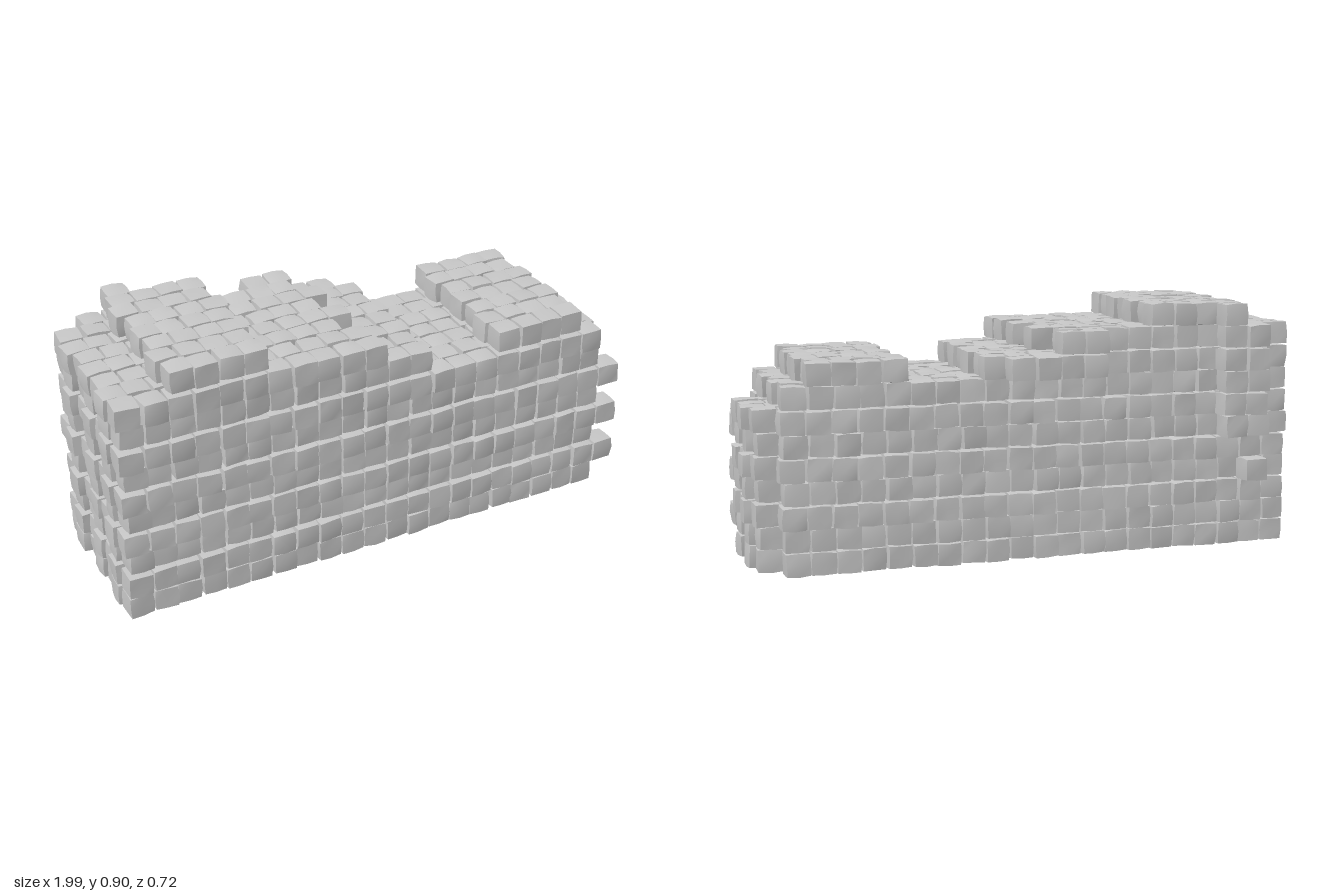
import * as THREE from 'three';
import { mergeGeometries, toCreasedNormals } from 'three/addons/utils/BufferGeometryUtils.js';

const PX = 0.0885, PY = 0.0807, PZ = 0.0862; // stone pitch along each axis

// small seeded random source, returns -1..1
let seed = 7;
const rnd = () => {
  seed = (seed * 16807) % 2147483647;
  return (seed / 2147483647) * 2 - 1;
};

// One rough-hewn block: a box with softened edges, bulging faces and uneven corners
function makeStone() {
  const g = new THREE.BoxGeometry(2, 2, 2, 2, 2, 2);
  const p = g.attributes.position;
  const moved = new Map();
  for (let i = 0; i < p.count; i++) {
    const v = new THREE.Vector3().fromBufferAttribute(p, i).round();
    const key = v.toArray().map((n) => n + 0).join();
    if (!moved.has(key)) {
      const rim = Math.abs(v.x) + Math.abs(v.y) + Math.abs(v.z);
      const scale = rim === 1 ? 1.03 : rim === 2 ? 0.99 : 0.95;
      moved.set(key, new THREE.Vector3(
        v.x * scale + rnd() * 0.05, v.y * scale + rnd() * 0.05, v.z * scale + rnd() * 0.05));
    }
    const m = moved.get(key);
    p.setXYZ(i, m.x, m.y, m.z);
  }
  g.scale(0.0425, 0.0400, 0.0420);
  return toCreasedNormals(g, 0.5);
}

// Stretches of wall kept in the broken upper courses: [from x, to x]
const FULL = [[-1, 1]];
const spans = {
  7: [[-1, 0.9]],
  8: [[-1, 0.2], [0.45, 0.8]],
  9: [[-1, -0.03]],
  10: [[-0.82, -0.39]],
};

// Rows from front to back: offset along x and number of stones
const rows = [
  { dx: 0.012, n: 22, n2: 21 }, { dx: 0.0, n: 21, n2: 21 }, { dx: 0.022, n: 22, n2: 22 },
  { dx: 0.01, n: 22, n2: 22 }, { dx: 0.025, n: 22, n2: 22 }, { dx: 0.0, n: 22, n2: 22 },
  { dx: 0.015, n: 21, n2: 21 },
];

// Stones jutting from the back face: [from x, to x] for a course
function juttingSpans(course) {
  if (course < 3) return [];
  const list = [[-0.92, course < 5 ? -0.8 : -0.64]];
  if (course === 8) list.push([-0.24, 0.13]);
  if (course === 9) list.push([-0.24, -0.04]);
  return list;
}

export function createModel() {
  const group = new THREE.Group();
  group.name = 'ruinedWall';
  const material = new THREE.MeshStandardMaterial({ color: 0xcccccc });
  const stones = Array.from({ length: 24 }, makeStone);
  const matrix = new THREE.Matrix4(), q = new THREE.Quaternion(), e = new THREE.Euler();
  const unit = new THREE.Vector3(1, 1, 1);

  const placeStone = (x, y, z) => {
    const pick = Math.min(23, Math.floor((rnd() + 1) * 12));
    q.setFromEuler(e.set(rnd() * 0.03, rnd() * 0.07, rnd() * 0.035));
    const pos = new THREE.Vector3(x + rnd() * 0.004, y + rnd() * 0.002, z + rnd() * 0.004);
    return stones[pick].clone().applyMatrix4(matrix.compose(pos, q, unit));
  };
  const inside = (x, list) => list.some(([a, b]) => x > a + 0.02 && x < b - 0.02);

  for (let c = 0; c < 11; c++) {
    const shifted = c >= 2 && c % 2 === 0;
    const y = 0.013 + PY * (c + 0.5);
    const z0 = 0.305 - (shifted ? 0.021 : 0);
    const x0 = -0.942 + (shifted ? 0.008 : -0.006);
    const course = [], jutting = [];

    // main body of the course
    rows.forEach((row, r) => {
      const count = c % 2 ? row.n : row.n2;
      for (let i = 0; i < count; i++) {
        const x = x0 + row.dx + i * PX;
        if (inside(x, spans[c] || FULL)) course.push(placeStone(x, y, z0 - r * PZ));
      }
    });

    // extra stones behind it
    for (let i = 0; i < 22; i++) {
      const x = x0 + 0.03 + i * PX;
      if (inside(x, juttingSpans(c)) && inside(x, spans[c] || FULL)) {
        jutting.push(placeStone(x, y, z0 - 7 * PZ + 0.005));
      }
    }

    for (const [name, list] of [['stoneCourse', course], ['juttingStones', jutting]]) {
      if (!list.length) continue;
      const mesh = new THREE.Mesh(mergeGeometries(list), material);
      mesh.name = name + (c + 1);
      group.add(mesh);
    }
  }
  return group;
}
